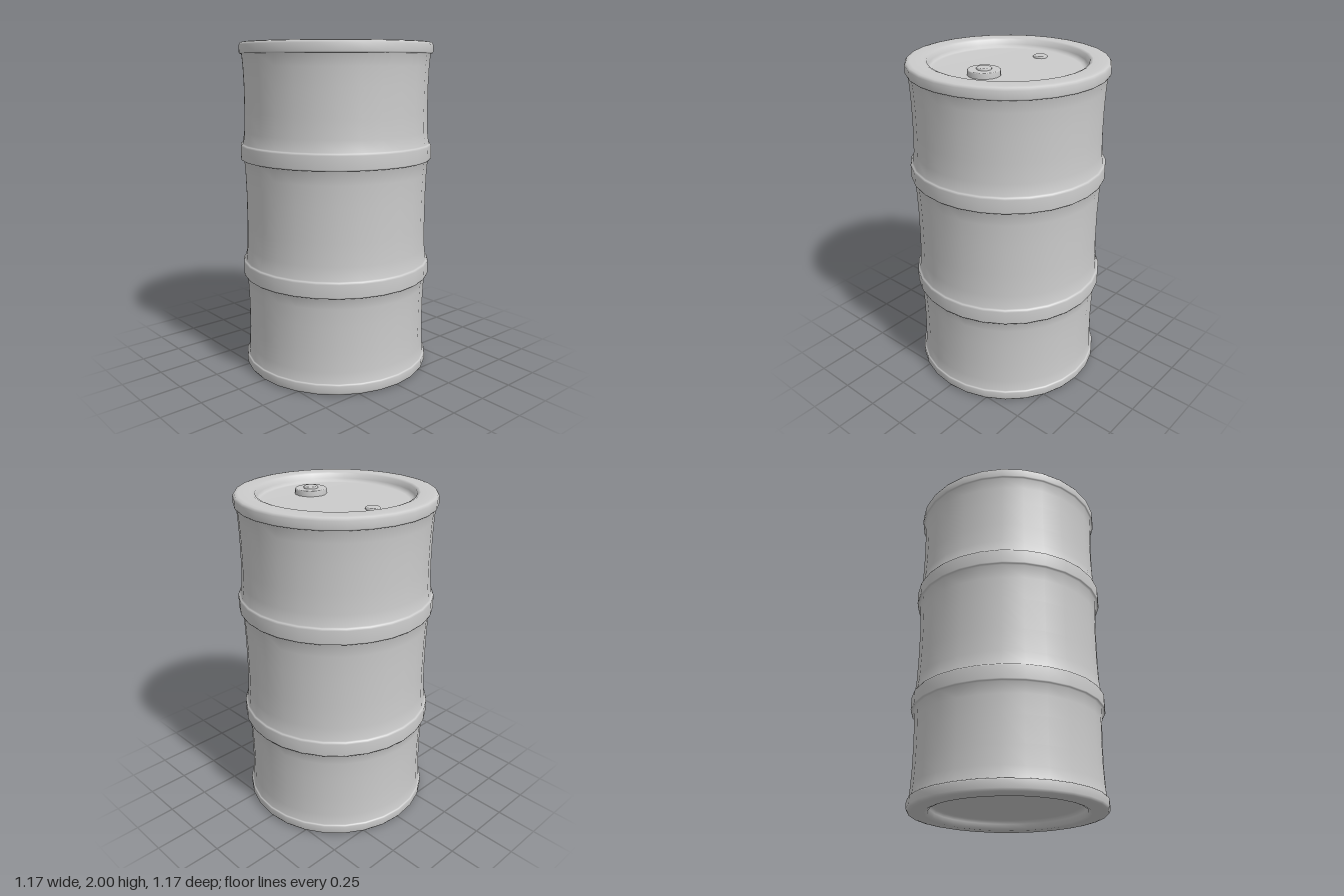
import * as THREE from 'three';

const SIDES = 28;
const material = new THREE.MeshStandardMaterial({ color: 0xcccccc });

// Revolved part from [radius, height] pairs running bottom to top
function lathe(name, profile, sides) {
  const points = profile.map(([r, y]) => new THREE.Vector2(r, y));
  const mesh = new THREE.Mesh(new THREE.LatheGeometry(points, sides), material);
  mesh.name = name;
  return mesh;
}

// Slightly concave wall between two bands
function wall(y0, y1, r0, r1) {
  const h = y1 - y0;
  return [[r0, y0], [0.559, y0 + 0.13 * h], [0.555, y0 + 0.35 * h],
    [0.555, y0 + 0.65 * h], [0.559, y0 + 0.87 * h], [r1, y1]];
}

// Raised hoop with small bevels
function hoop(y0, y1, r) {
  return [[r - 0.003, y0], [r, y0 + 0.008], [r, y1 - 0.012], [r - 0.006, y1 - 0.002]];
}

// Plug with a bevelled top edge
function plug(name, r, y0, y1, z) {
  const b = 0.004;
  const mesh = lathe(name, [[r, y0], [r, y1 - b], [r - b, y1], [r - 2 * b, y1], [0, y1]], 16);
  mesh.position.set(0.004, 0, z);
  return mesh;
}

export function createModel() {
  const group = new THREE.Group();
  group.name = 'barrel';

  // Body: recessed base, walls, hoops, rims and recessed lid in one profile
  group.add(lathe('barrelBody', [
    [0, 0.055], [0.42, 0.055], [0.438, 0.052], [0.447, 0.035], [0.455, 0.008], [0.475, 0],
    [0.55, 0], [0.568, 0.004], [0.577, 0.018], [0.577, 0.06], [0.573, 0.068],
    ...wall(0.07, 0.588, 0.565, 0.565),
    ...hoop(0.59, 0.685, 0.583),
    ...wall(0.688, 1.308, 0.568, 0.565),
    ...hoop(1.31, 1.405, 0.583),
    ...wall(1.408, 1.93, 0.568, 0.565),
    [0.575, 1.932], [0.579, 1.94], [0.579, 1.982], [0.57, 1.996], [0.55, 2],
    [0.475, 2], [0.457, 1.993], [0.449, 1.965], [0.44, 1.948], [0.42, 1.945], [0, 1.945],
  ], SIDES));

  // Lid fittings
  group.add(plug('bungFlange', 0.093, 1.94, 1.977, 0.206));
  group.add(plug('bungCap', 0.042, 1.97, 1.988, 0.206));
  group.add(plug('ventCap', 0.042, 1.94, 1.957, -0.288));

  return group;
}
